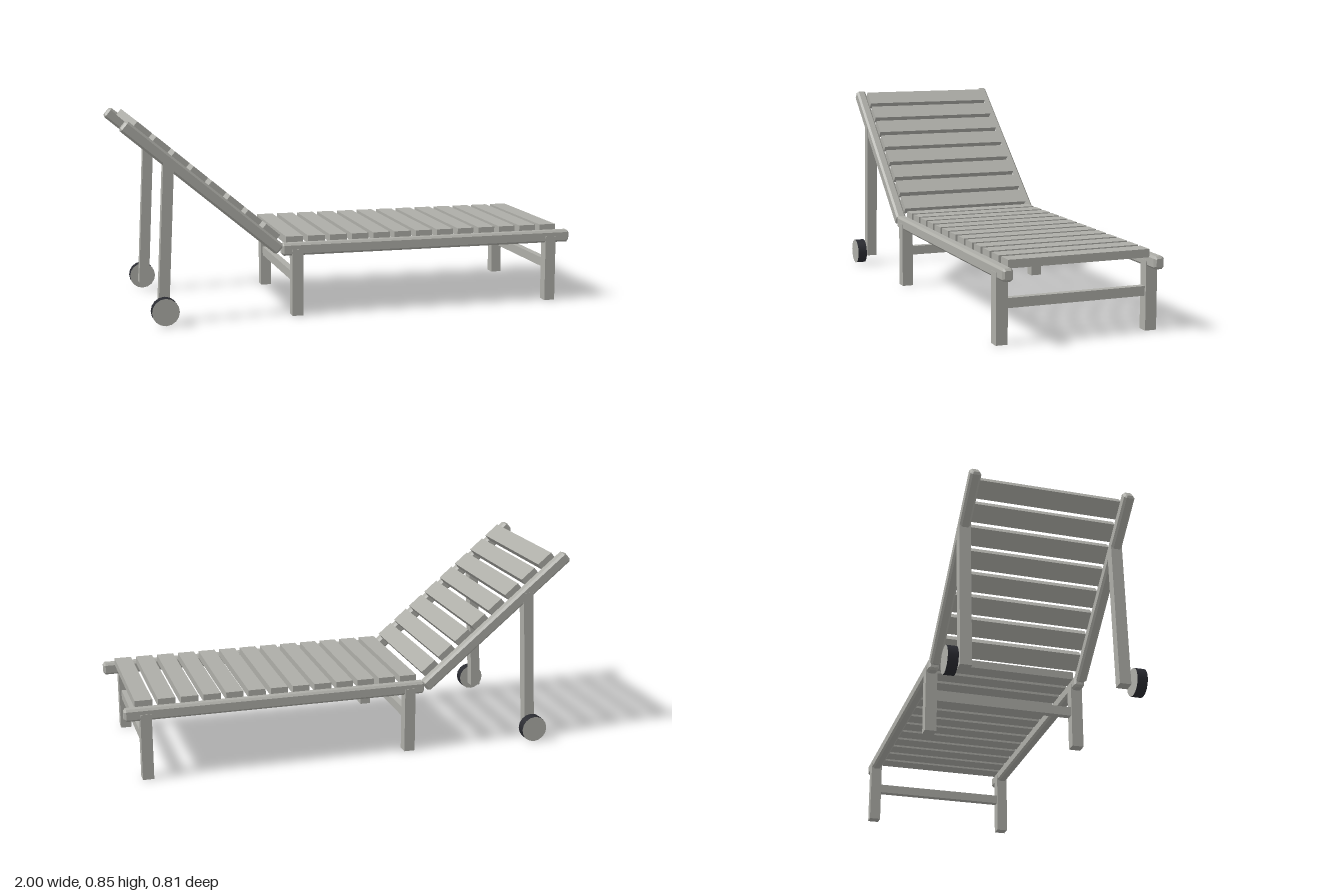
import * as THREE from 'three';

const wood = new THREE.MeshStandardMaterial({ color: 0xadada7 });
wood.name = 'weathered wood';
const rubber = new THREE.MeshStandardMaterial({ color: 0x2a2b31 });
rubber.name = 'dark rubber';

function add(parent, name, geometry, x, y, z, material = wood) {
  const mesh = new THREE.Mesh(geometry, material);
  mesh.name = name;
  mesh.position.set(x, y, z);
  parent.add(mesh);
  return mesh;
}

// Bar along x with every edge chamfered
function chamferedBar(length, height, width, c) {
  const w = width / 2, h = height / 2;
  const section = new THREE.Shape([
    [w, -h + c], [w, h - c], [w - c, h], [-w + c, h],
    [-w, h - c], [-w, -h + c], [-w + c, -h], [w - c, -h],
  ].map(([x, y]) => new THREE.Vector2(x, y)));
  const geometry = new THREE.ExtrudeGeometry(section, {
    depth: length - 2 * c, bevelEnabled: true, bevelSegments: 1,
    bevelThickness: c, bevelSize: c, bevelOffset: -c,
  });
  return geometry.translate(0, 0, c - length / 2).rotateY(Math.PI / 2);
}

// Two side rails with slats between them, centred on the rail axis
function slattedFrame(name, length, slats) {
  const frame = new THREE.Group();
  frame.name = name;
  const rail = chamferedBar(length, 0.053, 0.045, 0.009);
  for (const side of [1, -1]) add(frame, name + 'Rail', rail, 0, 0, side * 0.325);
  const slat = new THREE.BoxGeometry(slats.width, 0.034, 0.61);
  for (let i = 0; i < slats.count; i++) {
    add(frame, name + 'Slat', slat, slats.start + slats.width / 2 + i * slats.pitch, 0.033, 0);
  }
  return frame;
}

export function createModel() {
  const model = new THREE.Group();
  model.name = 'sunLounger';

  // Flat seat
  const seat = slattedFrame('seat', 1.323, { count: 13, start: -0.635, width: 0.075, pitch: 0.0975 });
  seat.position.set(0.335, 0.289, 0);
  model.add(seat);

  // Reclined backrest
  const back = slattedFrame('backrest', 0.855, { count: 8, start: -0.386, width: 0.078, pitch: 0.1003 });
  back.position.set(-0.66, 0.563, 0);
  back.rotation.z = -THREE.MathUtils.degToRad(40);
  model.add(back);

  // Straight legs, joined in pairs by a crossbar
  const leg = new THREE.BoxGeometry(0.048, 0.29, 0.05);
  const crossbar = new THREE.BoxGeometry(0.03, 0.04, 0.61);
  for (const x of [-0.259, 0.906]) {
    for (const side of [1, -1]) add(model, 'leg', leg, x, 0.145, side * 0.325);
    add(model, 'legCrossbar', crossbar, x, 0.163, 0);
  }

  // Leaning rear legs and their wheels
  const top = new THREE.Vector2(-0.804, 0.685), foot = new THREE.Vector2(-0.836, 0.04);
  const lean = top.clone().sub(foot);
  const rearLeg = new THREE.BoxGeometry(0.045, lean.length(), 0.048);
  const wheel = new THREE.CylinderGeometry(0.058, 0.058, 0.043, 16).rotateX(Math.PI / 2);
  for (const side of [1, -1]) {
    const mesh = add(model, 'rearLeg', rearLeg, (top.x + foot.x) / 2, (top.y + foot.y) / 2, side * 0.325);
    mesh.rotation.z = -Math.atan2(lean.x, lean.y);
    add(model, 'wheel', wheel, -0.835, 0.062, side * 0.384, [rubber, wood, wood]);
  }
  return model;
}
